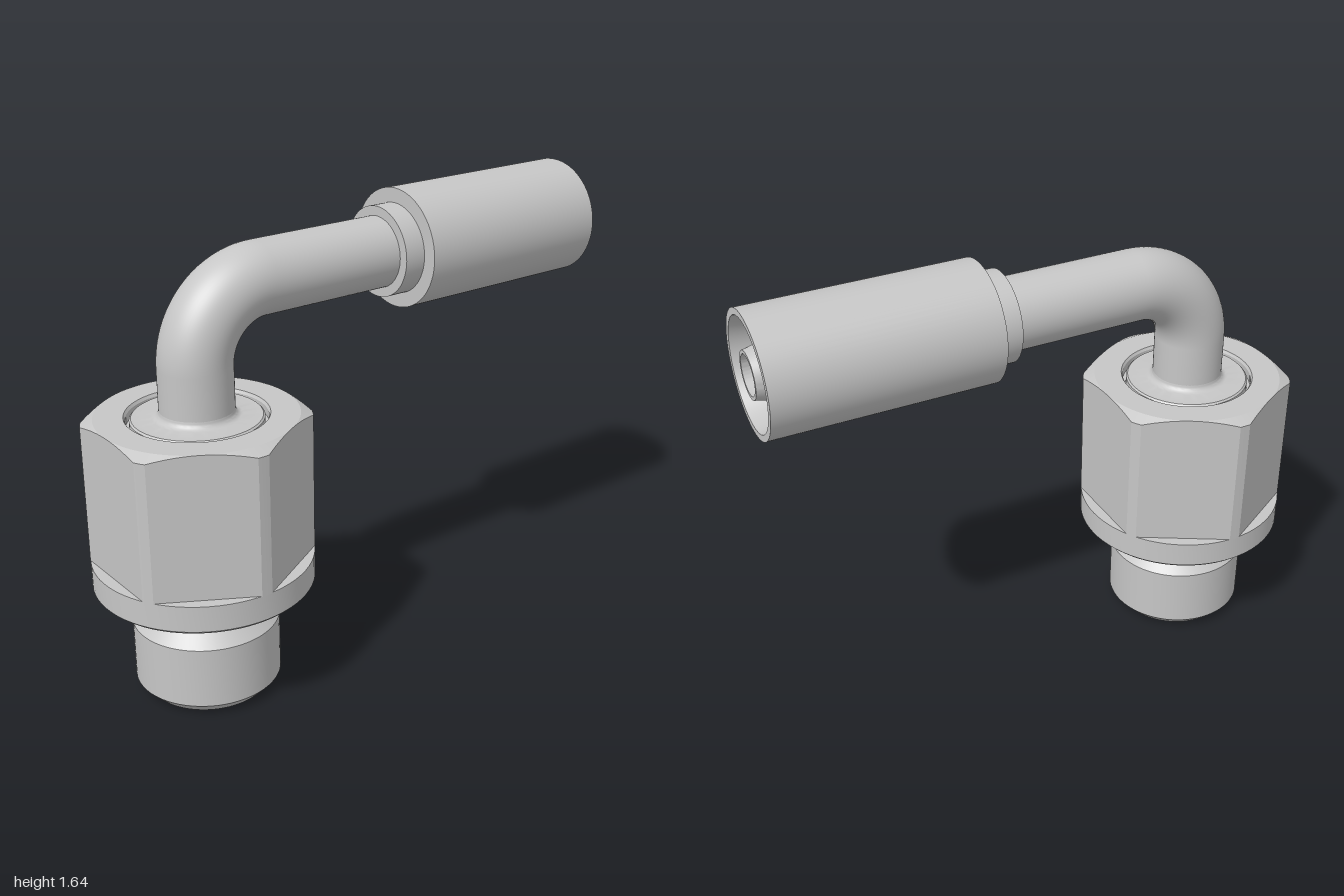
import * as THREE from 'three';
import { toCreasedNormals } from 'three/addons/utils/BufferGeometryUtils.js';

const AXIS_X = -0.62;   // vertical axis of nut and thread
const AXIS_Y = 1.425;   // height of the hose axis
const TUBE_R = 0.126;
const BEND_R = 0.25;

export function createModel() {
  const steel = new THREE.MeshStandardMaterial({ color: 0xc6c6c6 });
  steel.name = 'steel';
  const group = new THREE.Group();
  group.name = 'elbowHoseFitting';

  const add = (name, geometry, x = 0, y = 0) => {
    const mesh = new THREE.Mesh(geometry, steel);
    mesh.name = name;
    mesh.position.set(x, y, 0);
    group.add(mesh);
  };
  const lathe = (points, segments = 72) =>
    new THREE.LatheGeometry(points.map(([r, y]) => new THREE.Vector2(r, y)), segments);
  const crease = (g) => toCreasedNormals(g, 0.42);
  // Quarter fillet between angles a0 and a1 around (cx, cy)
  const fillet = (cx, cy, r, a0, a1, n = 6) =>
    Array.from({ length: n + 1 }, (_, i) => {
      const a = a0 + (a1 - a0) * i / n;
      return [cx + r * Math.cos(a), cy + r * Math.sin(a)];
    });

  // Hollow threaded end, undercut neck and round flange
  add('threadedBody', crease(lathe([
    [0, 0.95], [0.07, 0.9], [0.163, 0.85], [0.163, 0],
    [0.215, 0], [0.255, 0.042], [0.255, 0.26], [0.211, 0.305],
    ...fillet(0.241, 0.37, 0.03, Math.PI, Math.PI / 2),
    [0.37, 0.4], [0.381, 0.411], [0.381, 0.503], [0.23, 0.503],
  ])), AXIS_X);

  // Hexagon nut: a turned blank with flats cut into it and a chamfered top
  const nut = lathe([[0.381, 0.5], [0.381, 1.01], [0.34, 1.01], [0.241, 1.01], [0.235, 1.0], [0.235, 0.97], [0.2, 0.97]], 120);
  const p = nut.attributes.position;
  for (let i = 0; i < p.count; i++) {
    const x = p.getX(i), z = p.getZ(i), r = Math.hypot(x, z);
    if (r < 0.36) continue;
    const step = Math.PI / 3;
    const a = Math.atan2(z, x);
    const off = a - Math.round(a / step) * step;
    const cut = Math.min(0.3816, 0.34 / Math.cos(off));
    const y = p.getY(i) > 0.9 ? 1.01 - (cut - 0.34) * 0.5 : p.getY(i);
    p.setXYZ(i, x * cut / r, y, z * cut / r);
  }
  add('hexNut', crease(nut), AXIS_X);

  // Shoulder of the tube seated in the nut
  add('tubeShoulder', crease(lathe([
    [0.223, 0.965], [0.223, 0.998], [0.217, 1.004],
    ...fillet(TUBE_R + 0.025, 1.029, 0.025, Math.PI * 1.5, Math.PI),
  ])), AXIS_X);

  // Bent tube: riser, elbow and horizontal run
  const bendX = AXIS_X + BEND_R, bendY = AXIS_Y - BEND_R;
  const riserH = bendY - 1.02;
  add('tubeRiser', new THREE.CylinderGeometry(TUBE_R, TUBE_R, riserH, 64, 1, true), AXIS_X, bendY - riserH / 2);
  add('tubeElbow', new THREE.TorusGeometry(BEND_R, TUBE_R, 64, 32, Math.PI / 2).rotateZ(Math.PI / 2), bendX, bendY);
  const runL = 0.15 - bendX;
  add('tubeRun', new THREE.CylinderGeometry(TUBE_R, TUBE_R, runL, 64, 1, true).rotateZ(Math.PI / 2), bendX + runL / 2, AXIS_Y);

  // Parts turned about the hose axis
  const alongX = (points) => crease(lathe(points).rotateZ(-Math.PI / 2));
  add('collar', alongX([[0.12, 0.135], [0.16, 0.135], [0.16, 0.22]]), 0, AXIS_Y);
  add('ferrule', alongX([
    [0.15, 0.215], [0.212, 0.215], [0.212, 1], [0.189, 1], [0.163, 0.88], [0.08, 0.88],
  ]), 0, AXIS_Y);
  add('hoseNipple', alongX([
    [0.103, 0.87], [0.103, 0.9], [0.083, 0.985], [0.08, 1], [0.068, 1], [0.062, 0.8], [0, 0.65],
  ]), 0, AXIS_Y);

  return group;
}
